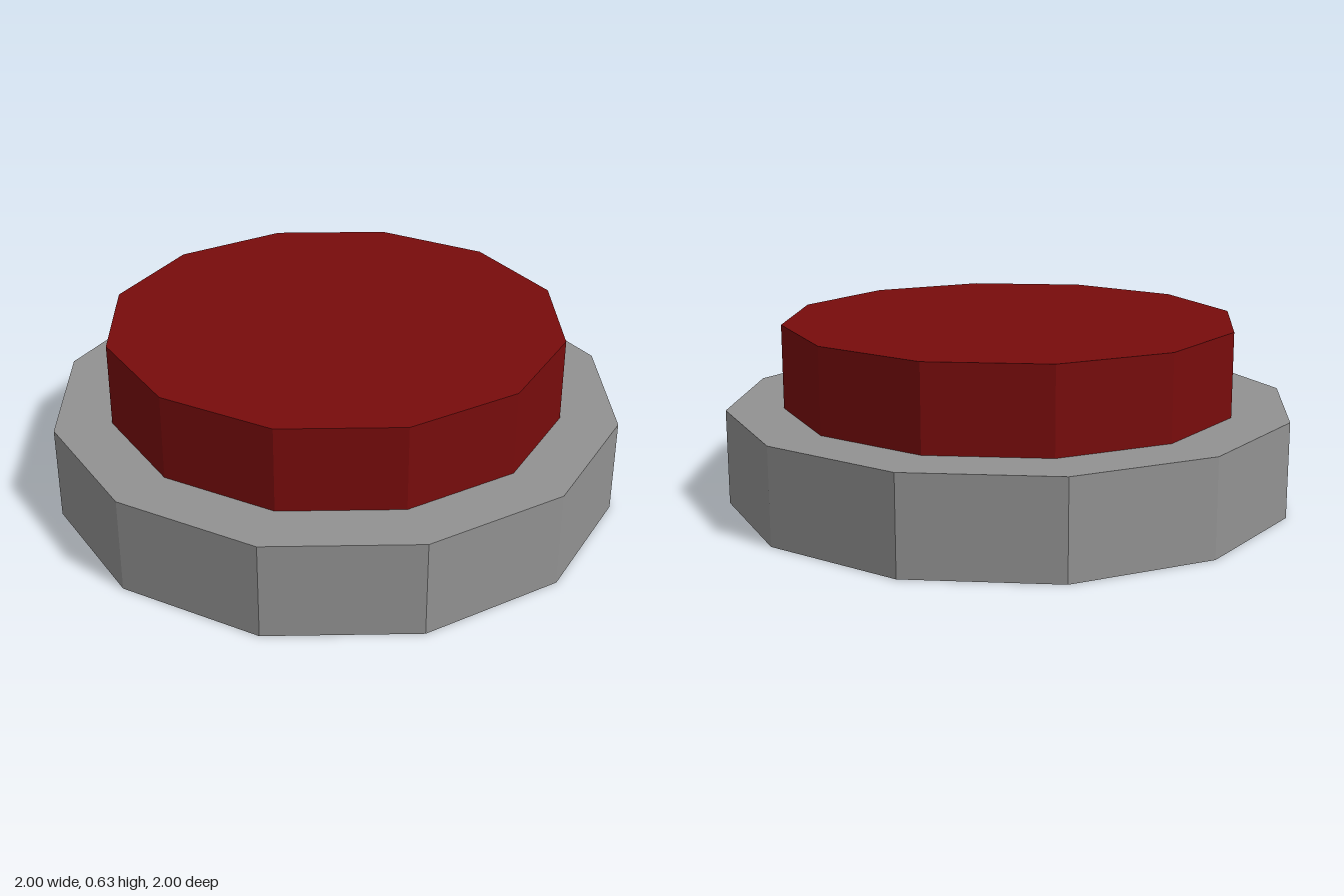
import * as THREE from 'three';

const SIDES = 12;

// Flat-shaded twelve-sided disc standing on the given height
function disc(name, radius, bottom, top, color) {
  const geometry = new THREE.CylinderGeometry(radius, radius, top - bottom, SIDES);
  const material = new THREE.MeshStandardMaterial({ color, flatShading: true });
  const mesh = new THREE.Mesh(geometry, material);
  mesh.name = name;
  mesh.position.y = (bottom + top) / 2;
  return mesh;
}

export function createModel() {
  const model = new THREE.Group();
  model.name = 'pushButton';

  // Wide grey housing with the dark red cap on top
  model.add(disc('base', 1, 0, 0.335, 0x929292));
  model.add(disc('buttonCap', 0.8, 0.335, 0.63, 0x780c0c));

  return model;
}
